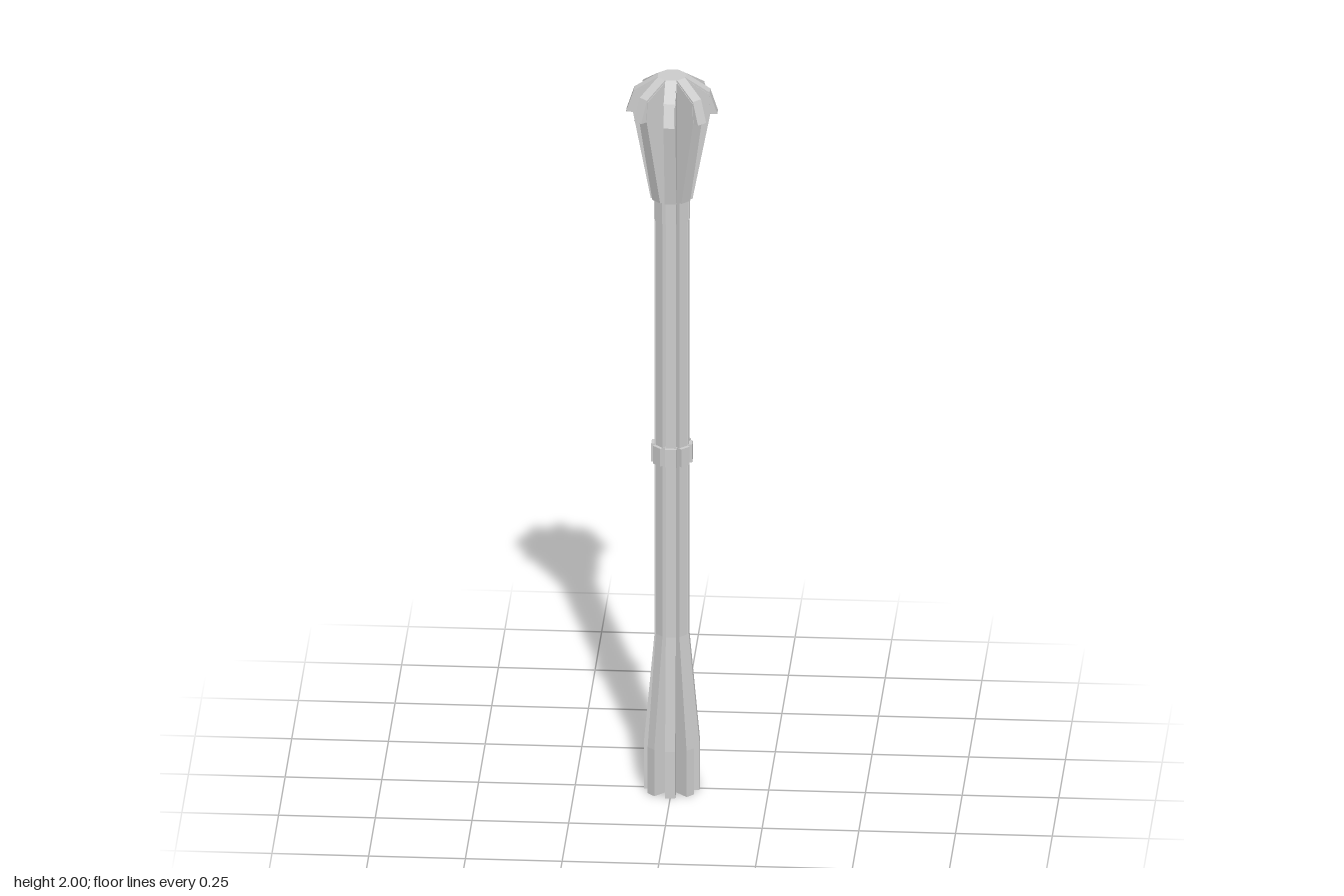
import * as THREE from 'three';

const RIBS = 8;

// Eight upright fins around the axis, each cut to the same [radius, height] profile
function finStar(name, width, profile, material) {
  const group = new THREE.Group();
  group.name = name;
  const bottom = profile[0][1];
  const top = profile[profile.length - 1][1];
  const outline = [[0, bottom], ...profile, [0, top]];
  const shape = new THREE.Shape(outline.map(([r, y]) => new THREE.Vector2(r, y)));
  const geometry = new THREE.ExtrudeGeometry(shape, { depth: width, bevelEnabled: false });
  geometry.translate(0, 0, -width / 2);
  for (let i = 0; i < RIBS; i++) {
    const fin = new THREE.Mesh(geometry, material);
    fin.name = `${name}Fin${i + 1}`;
    fin.rotation.y = (i / RIBS) * Math.PI * 2;
    group.add(fin);
  }
  return group;
}

export function createModel() {
  const model = new THREE.Group();
  model.name = 'ribbedPost';
  const grey = new THREE.MeshStandardMaterial({ color: 0xcccccc, flatShading: true });

  // Flared foot running into the straight shaft
  model.add(finStar('shaft', 0.026, [
    [0.072, 0], [0.072, 0.13], [0.044, 0.44], [0.044, 1.68],
  ], grey));

  // Collar halfway up
  model.add(finStar('collar', 0.029, [[0.053, 0.92], [0.053, 0.97]], grey));

  // Short sleeve under the head
  model.add(finStar('sleeve', 0.028, [[0.046, 1.6], [0.046, 1.67]], grey));

  // Head widening upwards
  model.add(finStar('head', 0.0305, [
    [0.054, 1.66], [0.1, 1.9], [0.097, 1.955], [0.036, 1.995],
  ], grey));

  // Domed cap whose tips overhang the head
  model.add(finStar('cap', 0.028, [
    [0.118, 1.9], [0.098, 1.96], [0.036, 2],
  ], grey));

  return model;
}
